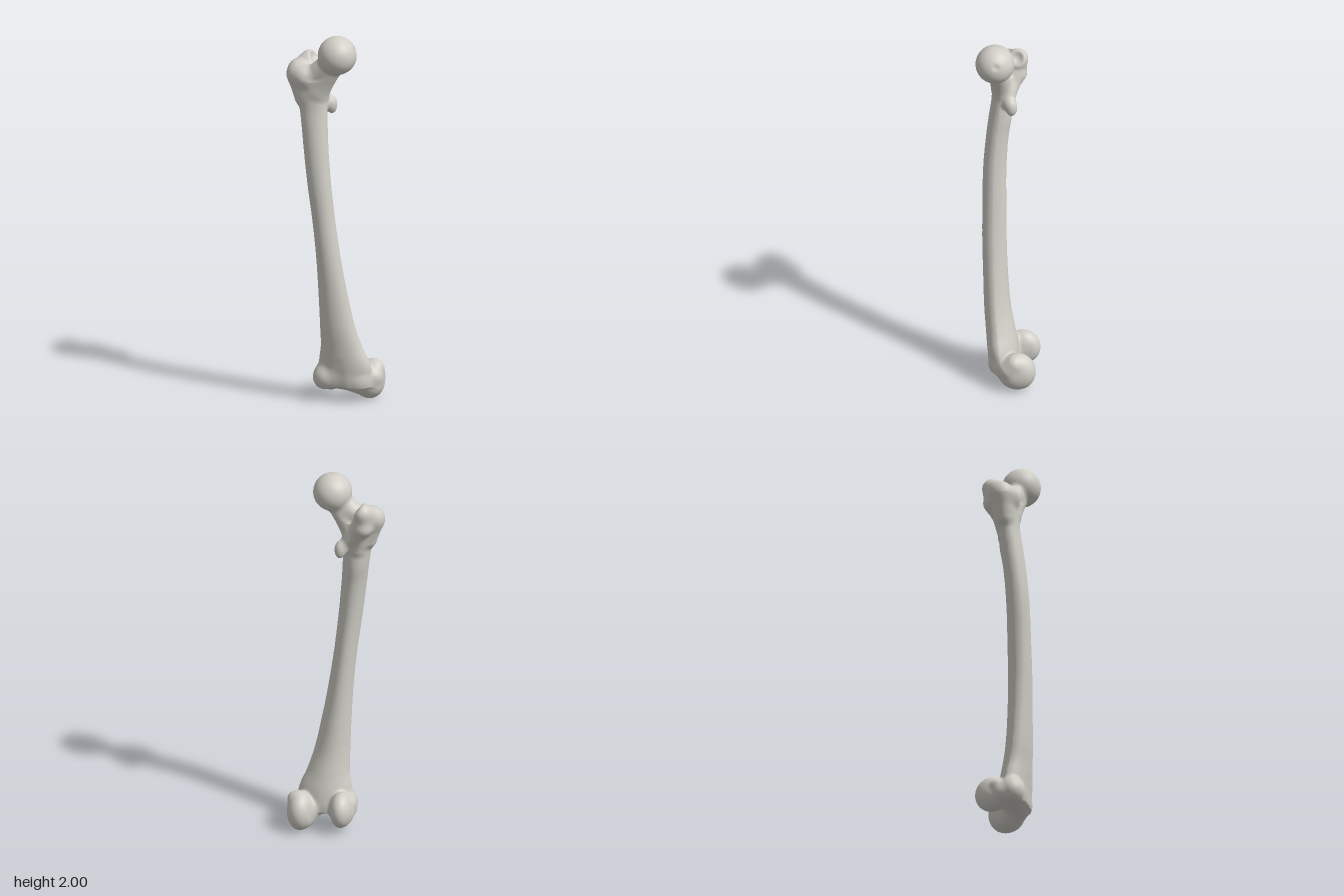
import * as THREE from 'three';

const CELL = 0.009;
const MIN = [-0.29, -0.04, -0.21], SIZE = [66, 233, 47];

// Smooth blends between two distance fields
const blend = (a, b, k) => {
  const h = Math.max(k - Math.abs(a - b), 0) / k;
  return Math.min(a, b) - h * h * k * 0.25;
};
const carve = (a, b, k) => -blend(-a, b, k);

// Ball-ended cone from a (radius ra) to b (radius rb)
const cone = (a, ra, b, rb) => {
  const d = b.map((v, i) => v - a[i]);
  const len2 = d[0] * d[0] + d[1] * d[1] + d[2] * d[2];
  return (x, y, z) => {
    const px = x - a[0], py = y - a[1], pz = z - a[2];
    const t = Math.min(1, Math.max(0, (px * d[0] + py * d[1] + pz * d[2]) / len2));
    return Math.hypot(px - d[0] * t, py - d[1] * t, pz - d[2] * t) - (ra + (rb - ra) * t);
  };
};

const ellipsoid = (c, r) => (x, y, z) => {
  const u = (x - c[0]) / r[0], v = (y - c[1]) / r[1], w = (z - c[2]) / r[2];
  const k = Math.hypot(u, v, w);
  return k * (k - 1) / (Math.hypot(u / r[0], v / r[1], w / r[2]) + 1e-6);
};
const ball = (c, r) => (x, y, z) => Math.hypot(x - c[0], y - c[1], z - c[2]) - r;

// Shaft sections: height, then x range and z range
const SECTIONS = [
  [0.08, -0.07, 0.2, -0.07, 0.085], [0.2, -0.08, 0.2, -0.06, 0.1],
  [0.3, -0.066, 0.16, -0.04, 0.11], [0.4, -0.065, 0.128, -0.02, 0.12],
  [0.6, -0.07, 0.085, 0, 0.13], [0.8, -0.08, 0.05, 0.01, 0.138],
  [1.0, -0.1, 0.022, 0.015, 0.14], [1.2, -0.127, 0, 0.018, 0.14],
  [1.4, -0.152, -0.018, 0.008, 0.126], [1.5, -0.165, -0.025, -0.006, 0.115],
  [1.6, -0.18, -0.03, -0.008, 0.102], [1.72, -0.21, -0.03, -0.01, 0.098],
];
const spline = new THREE.CubicInterpolant(
  SECTIONS.map(s => s[0]), SECTIONS.flatMap(s => s.slice(1)), 4);

// Oval shaft, pinched to a ridge along the back
const shaft = (x, y, z) => {
  const [x0, x1, z0, z1] = spline.evaluate(Math.min(1.72, Math.max(0.08, y)));
  const rx = (x1 - x0) / 2, rz = (z1 - z0) / 2;
  const w = (z - (z0 + z1) / 2) / rz;
  const u = (x - (x0 + x1) / 2) / rx * (1 + 0.25 * Math.min(1, Math.max(0, -w)));
  const side = (Math.hypot(u, w) - 1) * Math.min(rx, rz);
  return Math.max(side, y - 1.74, 0.09 - y);
};

// Each part: blend width and its solids
const PARTS = {
  shaft: [0.02, shaft],
  neck: [0.03,
    cone([0, 1.875, 0.062], 0.046, [-0.13, 1.75, 0.05], 0.052),
    cone([0.03, 1.87, 0.062], 0.05, [-0.075, 1.69, 0.045], 0.05)],
  greaterTrochanter: [0.03,
    cone([-0.165, 1.65, 0.04], 0.04, [-0.185, 1.77, 0.035], 0.063),
    cone([-0.185, 1.77, 0.035], 0.055, [-0.155, 1.77, 0.065], 0.052),
    cone([-0.195, 1.8, 0.015], 0.045, [-0.145, 1.835, -0.033], 0.046),
    cone([-0.145, 1.83, -0.033], 0.044, [-0.148, 1.75, -0.035], 0.042)],
  trochantericCrest: [0.04,
    cone([-0.14, 1.74, -0.022], 0.036, [-0.115, 1.6, 0.01], 0.02),
    cone([-0.13, 1.74, -0.02], 0.03, [-0.035, 1.62, -0.002], 0.022)],
  lesserTrochanter: [0.03, ellipsoid([-0.022, 1.6, -0.014], [0.028, 0.045, 0.03])],
  head: [0.016, ball([0.03, 1.898, 0.065], 0.102)],
  patellarSurface: [0.03, cone([-0.04, 0.135, 0.035], 0.06, [0.12, 0.115, 0.01], 0.063)],
  medialCondyle: [0.022,
    ellipsoid([0.178, 0.106, -0.078], [0.068, 0.104, 0.092]),
    cone([0.165, 0.085, -0.05], 0.078, [0.13, 0.115, 0.01], 0.066),
    cone([0.205, 0.165, -0.06], 0.042, [0.2, 0.13, -0.03], 0.048)],
  lateralCondyle: [0.022,
    ellipsoid([-0.038, 0.125, -0.075], [0.06, 0.095, 0.09]),
    cone([-0.04, 0.1, -0.05], 0.062, [-0.045, 0.12, 0.035], 0.06),
    cone([-0.075, 0.15, -0.03], 0.034, [-0.075, 0.11, -0.01], 0.034)],
};
const NAMES = Object.keys(PARTS), LIST = Object.values(PARTS);

// Hollows: notch between condyles, kneecap groove, fossa, pit in head
const HOLLOWS = [
  [0.025, cone([0.067, -0.05, -0.075], 0.042, [0.067, 0.15, -0.135], 0.046)],
  [0.03, cone([0.045, 0.0, 0.145], 0.065, [0.04, 0.2, 0.18], 0.065)],
  [0.025, ball([-0.098, 1.862, -0.028], 0.04)],
  [0.015, ball([0.137, 1.937, 0.045], 0.018)],
];

const field = (x, y, z) => {
  let d = 1;
  for (const [k, ...solids] of LIST) for (const s of solids) d = blend(d, s(x, y, z), k);
  for (const [k, h] of HOLLOWS) d = carve(d, h(x, y, z), k);
  return d;
};
const gradient = (x, y, z, e = 0.003) => [
  (field(x + e, y, z) - field(x - e, y, z)) / (2 * e),
  (field(x, y + e, z) - field(x, y - e, z)) / (2 * e),
  (field(x, y, z + e) - field(x, y, z - e)) / (2 * e)];

const nearestPart = (x, y, z) => {
  let best = 0, bestD = Infinity;
  LIST.forEach(([, ...solids], i) => {
    const d = Math.min(...solids.map(s => s(x, y, z)));
    if (d < bestD) { bestD = d; best = i; }
  });
  return best;
};

// Wraps one continuous skin round the solids, sorted into parts
function buildSkin() {
  const [nx, ny, nz] = SIZE, step = [1, nx, nx * ny];
  const value = new Float32Array(nx * ny * nz);
  const at = (i, j, k) => [MIN[0] + i * CELL, MIN[1] + j * CELL, MIN[2] + k * CELL];
  const eachCell = (from, fn) => {
    for (let j = from; j < ny - from; j++)
      for (let k = from; k < nz - from; k++)
        for (let i = from; i < nx - from; i++) fn(i, j, k, i + j * step[1] + k * step[2]);
  };
  eachCell(0, (i, j, k, n) => { value[n] = field(...at(i, j, k)); });

  // One point per crossed cell, pulled onto the surface
  const points = [], normals = [], index = new Map();
  eachCell(1, (i, j, k, n) => {
    const sum = [0, 0, 0];
    let count = 0;
    for (let a = 0; a < 3; a++) for (let c = 0; c < 4; c++) {
      const o = [0, 0, 0];
      o[(a + 1) % 3] = c & 1;
      o[(a + 2) % 3] = c >> 1;
      const m = n + o[0] + o[1] * step[1] + o[2] * step[2];
      const v0 = value[m], v1 = value[m + step[a]];
      if ((v0 < 0) === (v1 < 0)) continue;
      o[a] = v0 / (v0 - v1);
      o.forEach((v, q) => { sum[q] += v; });
      count++;
    }
    if (!count) return;
    let p = at(i + sum[0] / count, j + sum[1] / count, k + sum[2] / count);
    let g = gradient(...p);
    const move = field(...p) / Math.max(0.2, g[0] * g[0] + g[1] * g[1] + g[2] * g[2]);
    const limit = Math.max(-CELL / 3, Math.min(CELL / 3, move));
    p = p.map((v, q) => v - g[q] * limit);
    g = gradient(...p);
    const len = Math.hypot(...g) || 1;
    index.set(n, points.length);
    points.push(p);
    normals.push(g.map(v => v / len));
  });

  // One quad round every crossed grid edge
  const out = NAMES.map(() => ({ position: [], normal: [] }));
  eachCell(2, (i, j, k, n) => {
    for (let a = 0; a < 3; a++) {
      const inside = value[n] < 0;
      if (inside === value[n + step[a]] < 0) continue;
      const b = step[(a + 1) % 3], c = step[(a + 2) % 3];
      const quad = [n, n - b, n - b - c, n - c].map(m => index.get(m));
      if (!inside) quad.reverse();
      const part = out[nearestPart(...points[quad[0]])];
      for (const q of [0, 1, 2, 0, 2, 3]) {
        part.position.push(...points[quad[q]]);
        part.normal.push(...normals[quad[q]]);
      }
    }
  });
  return out;
}

export function createModel() {
  const group = new THREE.Group();
  group.name = 'thighBone';
  const bone = new THREE.MeshStandardMaterial({ color: 0xd0cec6 });
  bone.name = 'bone';
  buildSkin().forEach(({ position, normal }, i) => {
    if (!position.length) return;
    const geometry = new THREE.BufferGeometry();
    geometry.setAttribute('position', new THREE.Float32BufferAttribute(position, 3));
    geometry.setAttribute('normal', new THREE.Float32BufferAttribute(normal, 3));
    const mesh = new THREE.Mesh(geometry, bone);
    mesh.name = NAMES[i];
    group.add(mesh);
  });
  return group;
}
